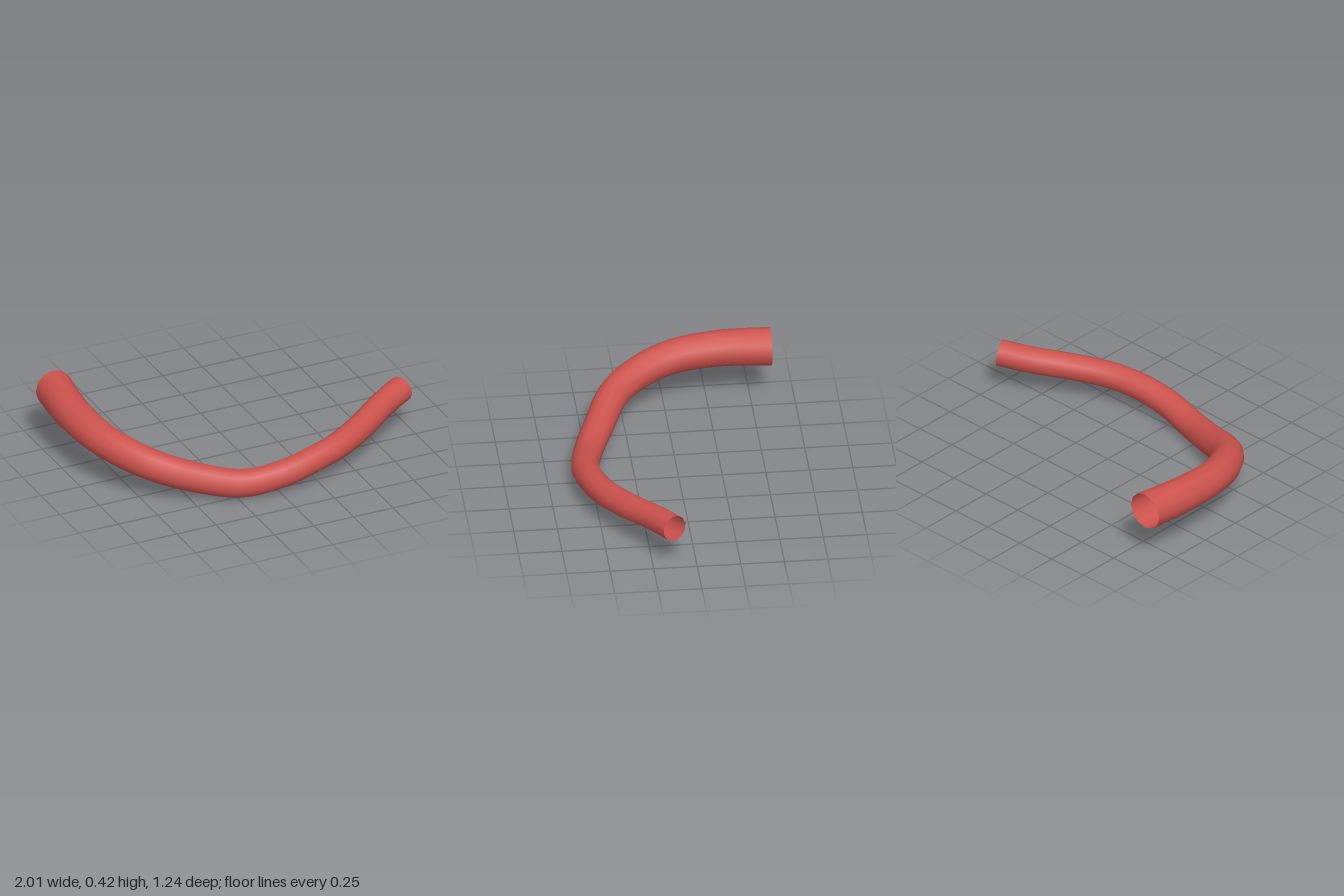
import * as THREE from 'three';

const SEGMENTS = 72;
const SIDES = 12;

export function createModel() {
  const group = new THREE.Group();
  group.name = 'bentPipe';
  const red = new THREE.MeshStandardMaterial({ color: 0xcc524d, side: THREE.DoubleSide });
  red.name = 'pipe red';

  // Centre line, from the wide back end to the narrow left end
  const path = new THREE.CatmullRomCurve3([
    [-0.875, 0.315, -0.62],
    [-0.9, 0.304, -0.3],
    [-0.857, 0.274, 0],
    [-0.682, 0.205, 0.275],
    [-0.4, 0.115, 0.424],
    [-0.2, 0.083, 0.5],
    [0.03, 0.113, 0.539],
    [0.2, 0.145, 0.525],
    [0.4, 0.172, 0.472],
    [0.6, 0.195, 0.362],
    [0.8, 0.221, 0.222],
    [0.968, 0.243, 0.127],
  ].map((p) => new THREE.Vector3(...p)));

  // Open tube of unit radius, tapered ring by ring around the centre line
  const tube = new THREE.TubeGeometry(path, SEGMENTS, 1, SIDES, false);
  const pos = tube.attributes.position;
  const vertex = new THREE.Vector3();
  for (let ring = 0; ring <= SEGMENTS; ring++) {
    const t = ring / SEGMENTS;
    const centre = path.getPointAt(t);
    const radius = 0.077 + 0.034 * Math.pow(Math.max(0, 1 - t / 0.75), 1.3);
    for (let side = 0; side <= SIDES; side++) {
      const i = ring * (SIDES + 1) + side;
      vertex.fromBufferAttribute(pos, i).sub(centre).multiplyScalar(radius).add(centre);
      // The wide end is cut square to z
      if (ring === 0) vertex.z = -0.62;
      pos.setXYZ(i, vertex.x, vertex.y, vertex.z);
    }
  }

  const pipe = new THREE.Mesh(tube, red);
  pipe.name = 'pipe';
  group.add(pipe);
  return group;
}
